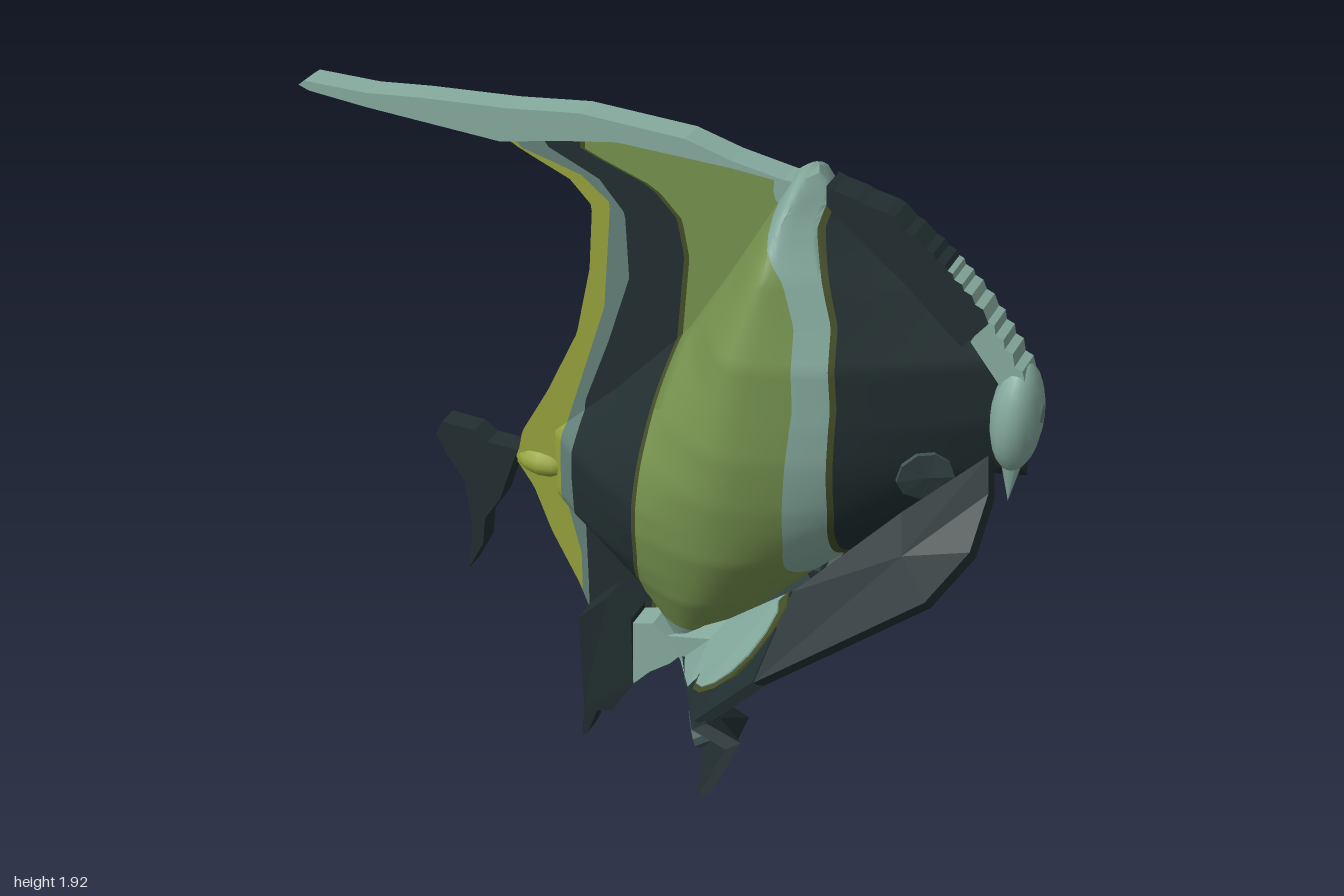
import * as THREE from 'three';
import { toCreasedNormals } from 'three/addons/utils/BufferGeometryUtils.js';

const paint = (name, color) => {
  const m = new THREE.MeshStandardMaterial({ color });
  m.name = name;
  return m;
};

// Piecewise linear lookup over [key, value] pairs sorted by key
const table = (pts) => (y) => {
  if (y <= pts[0][0]) return pts[0][1];
  for (let i = 1; i < pts.length; i++) {
    const [a, va] = pts[i - 1], [b, vb] = pts[i];
    if (y <= b) return va + (vb - va) * (y - a) / (b - a);
  }
  return pts[pts.length - 1][1];
};

// Body outline, ridge and half thickness by height
const bodyBack = table([[0.37, 0.07], [0.45, 0.04], [0.55, -0.04], [0.67, -0.16], [0.78, -0.33], [0.98, -0.33],
  [1.17, -0.13], [1.4, 0.08], [1.6, 0.2], [1.78, 0.3], [1.89, 0.36]]);
const bodyFront = table([[0.37, 0.14], [0.42, 0.18], [0.56, 0.28], [0.72, 0.42], [0.85, 0.55], [1.03, 0.75],
  [1.2, 0.91], [1.35, 0.94], [1.5, 0.9], [1.66, 0.71], [1.82, 0.48], [1.89, 0.41]]);
const ridge = table([[0.37, 0.1], [0.6, 0.15], [0.9, 0.25], [1.2, 0.32], [1.5, 0.33], [1.75, 0.37], [1.89, 0.385]]);
const halfWidth = table([[0.37, 0.07], [0.45, 0.1], [0.55, 0.15], [0.7, 0.23], [0.9, 0.295], [1.1, 0.325],
  [1.25, 0.33], [1.5, 0.3], [1.7, 0.225], [1.8, 0.16], [1.86, 0.11], [1.89, 0.05]]);
const frontBluntness = table([[0.6, 2.2], [1, 1.7], [1.2, 1.33]]);
const bodyThick = (x, y) => {
  const r = ridge(y), back = x < r;
  const s = Math.min(1, Math.abs(x - r) / Math.abs((back ? bodyBack(y) : bodyFront(y)) - r));
  return halfWidth(y) * (1 - Math.pow(s, back ? 1.8 : frontBluntness(y)));
};

// Rear fin outline; its front side is buried in the body
const finBack = table([[0.4, -0.19], [0.5, -0.23], [0.65, -0.31], [0.78, -0.36], [0.85, -0.41], [0.95, -0.39],
  [1.1, -0.31], [1.3, -0.22], [1.5, -0.18], [1.68, -0.17], [1.74, -0.23], [1.79, -0.36], [1.82, -0.42], [1.87, -0.2]]);
const finFront = (y) => bodyBack(y) + 0.1 * Math.min(1, (1.9 - y) / 0.3, (y - 0.3) / 0.3);

// Stripe boundaries, rear to front
const bounds = [
  () => -9,
  table([[0.6, -0.22], [0.8, -0.27], [1, -0.26], [1.2, -0.2], [1.4, -0.14], [1.7, -0.12], [1.76, -0.2], [1.8, -0.38]]),
  table([[0.5, -0.2], [0.9, -0.21], [1.1, -0.2], [1.3, -0.13], [1.5, -0.07], [1.68, -0.08], [1.76, -0.15], [1.82, -0.3]]),
  table([[0.4, -0.02], [0.6, 0], [0.8, 0.03], [1.2, 0.05], [1.6, 0.08], [1.7, 0.06], [1.77, -0.01], [1.83, -0.2]]),
  table([[0.68, 0.5], [0.75, 0.45], [0.85, 0.43], [1, 0.45], [1.4, 0.47], [1.6, 0.45], [1.7, 0.41], [1.76, 0.36], [1.82, 0.31]]),
  table([[0.85, 0.54], [1.1, 0.565], [1.4, 0.565], [1.6, 0.54], [1.7, 0.5], [1.8, 0.46], [1.87, 0.46]]),
  () => 9,
];
const shift = (f, d) => (y) => f(y) + d;

// One stripe of a two-sided thick sheet between two boundary curves
function stripe(y0, y1, left, right, lo, hi, thick) {
  const pos = [], rows = Math.max(8, Math.round((y1 - y0) * 54)), cols = 11;
  const P = (r, c, side) => {
    const y = y0 + (y1 - y0) * r / rows, a = left(y), b = right(y);
    const xa = Math.min(b, Math.max(a, lo(y))), xb = Math.min(b, Math.max(a, hi(y)));
    const x = xa + (xb - xa) * c / cols;
    return new THREE.Vector3(x, y, side * thick(x, y));
  };
  const tri = (a, b, c) => {
    const n = b.clone().sub(a).cross(c.clone().sub(a));
    if (n.length() > 1e-7) for (const v of [a, b, c]) pos.push(v.x, v.y, v.z);
  };
  const quad = (a, b, c, d) => { tri(a, b, c); tri(a, c, d); };
  for (let r = 0; r < rows; r++) {
    for (let c = 0; c < cols; c++) {
      quad(P(r, c, 1), P(r, c + 1, 1), P(r + 1, c + 1, 1), P(r + 1, c, 1));
      quad(P(r, c + 1, -1), P(r, c, -1), P(r + 1, c, -1), P(r + 1, c + 1, -1));
    }
    quad(P(r, 0, -1), P(r, 0, 1), P(r + 1, 0, 1), P(r + 1, 0, -1));
    quad(P(r, cols, 1), P(r, cols, -1), P(r + 1, cols, -1), P(r + 1, cols, 1));
  }
  for (let c = 0; c < cols; c++) {
    quad(P(0, c, -1), P(0, c + 1, -1), P(0, c + 1, 1), P(0, c, 1));
    quad(P(rows, c, 1), P(rows, c + 1, 1), P(rows, c + 1, -1), P(rows, c, -1));
  }
  const g = new THREE.BufferGeometry();
  g.setAttribute('position', new THREE.Float32BufferAttribute(pos, 3));
  return toCreasedNormals(g, 0.8);
}

// Thick plate through a loop of 3D points
function plate(pts, t) {
  const p = pts.map((q) => new THREE.Vector3(...q)), n = new THREE.Vector3(), mid = new THREE.Vector3();
  p.forEach((a, i) => { n.add(a.clone().cross(p[(i + 1) % p.length])); mid.addScaledVector(a, 1 / p.length); });
  n.setLength(t / 2);
  const up = (v) => v.clone().add(n), dn = (v) => v.clone().sub(n), out = [];
  p.forEach((a, i) => {
    const b = p[(i + 1) % p.length];
    out.push(up(mid), up(a), up(b), dn(mid), dn(b), dn(a), dn(a), dn(b), up(b), dn(a), up(b), up(a));
  });
  const g = new THREE.BufferGeometry().setFromPoints(out);
  g.computeVertexNormals();
  return g;
}

// Oval loop laid on a four-cornered panel a-b-c-d, clipped at its a-b edge
function ovalOn([a, b, c, d], u, v, ru, rv) {
  return Array.from({ length: 12 }, (_, k) => {
    const s = u + ru * Math.cos(k * Math.PI / 6), t = Math.max(0, v + rv * Math.sin(k * Math.PI / 6));
    return [0, 1, 2].map((i) => (a[i] * (1 - s) + b[i] * s) * (1 - t) + (d[i] * (1 - s) + c[i] * s) * t);
  });
}

// Flat side-on outline with depth along z
function slab(pts, depth, z = 0) {
  const s = new THREE.Shape(pts.map(([x, y]) => new THREE.Vector2(x, y)));
  return new THREE.ExtrudeGeometry(s, { depth, bevelEnabled: false }).translate(0, 0, z - depth / 2);
}

export function createModel() {
  const group = new THREE.Group();
  const pale = paint('pale teal', 0x86ab9f), olive = paint('olive green', 0x76934f);
  const yellow = paint('yellow green', 0x96a33c), dark = paint('dark slate', 0x222f31);
  const slate = paint('grey teal', 0x638078), grey = paint('spot grey', 0x3c4f50), moss = paint('dark moss', 0x454f2a);
  const add = (name, geo, mat) => {
    const m = new THREE.Mesh(geo, mat);
    m.name = name;
    group.add(m);
  };

  // Striped body and the thin fin behind it, with moss lines along the dark stripes
  const finThick = () => 0.034, w = 0.014;
  const stripes = [
    [yellow, bounds[0], bounds[1]], [slate, bounds[1], bounds[2]], [dark, bounds[2], bounds[3]],
    [moss, bounds[3], shift(bounds[3], w)], [olive, shift(bounds[3], w), bounds[4]],
    [pale, bounds[4], shift(bounds[5], -w)], [moss, shift(bounds[5], -w), bounds[5]], [dark, bounds[5], bounds[6]],
  ];
  stripes.forEach(([mat, lo, hi], i) => {
    const start = mat === olive ? 0.55 : 0.37;
    add('bodyStripe', stripe(start, 1.89, bodyBack, bodyFront, lo, hi, bodyThick), mat);
    if (i < 6) add('finStripe', stripe(0.4, 1.87, finBack, finFront, lo, hi, finThick), mat);
  });
  add('bellyTip', stripe(0.37, 0.55, bodyBack, bodyFront, shift(bounds[3], w), bounds[4], bodyThick), pale);

  // Long trailing streamer on the top edge
  add('streamer', slab([[0.4, 1.86], [0.2, 1.89], [0.08, 1.92], [-0.2, 1.925], [-0.4, 1.895], [-0.65, 1.87], [-0.8, 1.85],
    [-0.98, 1.845], [-1, 1.83], [-0.97, 1.82], [-0.8, 1.81], [-0.42, 1.8], [-0.25, 1.84], [-0.1, 1.87], [0.2, 1.87]], 0.072), pale);

  // Tail
  add('tailBase', new THREE.SphereGeometry(1, 12, 8).scale(0.085, 0.045, 0.06).translate(-0.34, 0.86, 0), yellow);
  add('tailFin', slab([[-0.41, 0.88], [-0.5, 0.88], [-0.54, 0.905], [-0.64, 0.905], [-0.66, 0.86], [-0.63, 0.8], [-0.58, 0.73],
    [-0.56, 0.58], [-0.58, 0.43], [-0.53, 0.53], [-0.52, 0.62], [-0.47, 0.7], [-0.43, 0.82]], 0.06), dark);

  // Stepped crest down the forehead, turning pale toward the muzzle
  const crest = (path, base) => {
    const pts = [];
    for (let i = 1; i < path.length; i++) {
      const [ax, ay] = path[i - 1], [bx, by] = path[i];
      for (const t of [0, 0.5]) {
        const x = ax + (bx - ax) * t, y = ay + (by - ay) * t;
        pts.push([x - 0.006, y + 0.012], [x + 0.014, y + 0.004]);
      }
    }
    return slab([...pts, path[path.length - 1], ...base], 0.08);
  };
  add('upperCrest', crest([[0.45, 1.87], [0.6, 1.835], [0.7, 1.765], [0.76, 1.72]], [[0.7, 1.6], [0.45, 1.78]]), dark);
  add('middleCrest', crest([[0.75, 1.725], [0.8, 1.68], [0.86, 1.62]], [[0.8, 1.54], [0.68, 1.62]]), [dark, pale]);
  add('lowerCrest', crest([[0.86, 1.615], [0.91, 1.55], [0.965, 1.47]], [[0.9, 1.46], [0.82, 1.56]]), pale);

  // Muzzle and pointed chin
  add('muzzle', new THREE.SphereGeometry(1, 16, 12).scale(0.062, 0.15, 0.088).translate(0.938, 1.365, 0), pale);
  add('mouth', new THREE.SphereGeometry(0.022, 10, 8).scale(0.4, 1.4, 0.8).translate(0.994, 1.385, 0), slate);
  add('chin', new THREE.ConeGeometry(0.055, 0.24, 10).rotateX(Math.PI).translate(0.935, 1.235, 0), pale);

  // Paired parts, mirrored across the body
  for (const s of [1, -1]) {
    const side = s > 0 ? 'front' : 'back';
    const flip = (pts) => {
      const q = pts.map(([x, y, z]) => [x, y, z * s]);
      return s > 0 ? q : q.reverse();
    };
    // Arm in two panels, with a moss-ringed pale patch that runs into the pale root
    const I = [0.5, 0.87, 0.27], P = [0.25, 0.52, 0.33], E = [0.36, 0.6, 0.53], D = [0.49, 0.73, 0.475];
    const lowerArm = [I, P, E, D];
    add(side + 'UpperArm', plate(flip([[0.9, 1.26, 0.05], [0.72, 1.09, 0.13], I, D, [0.86, 1, 0.33],
      [0.92, 1.08, 0.2], [0.92, 1.18, 0.09]]), 0.035), dark);
    add(side + 'LowerArm', plate(flip(lowerArm), 0.03), dark);
    add(side + 'ArmPatchRing', plate(flip(ovalOn(lowerArm, 0.45, 0.22, 0.5, 0.46)), 0.038), moss);
    add(side + 'ArmPatch', plate(flip(ovalOn(lowerArm, 0.47, 0.2, 0.43, 0.39)), 0.046), pale);
    add(side + 'ArmRoot', plate(flip([I, [0.29, 0.64, 0.17], [0.08, 0.46, 0.1], [0.13, 0.41, 0.12], P]), 0.03), pale);

    // Folded forearm with grey blotches
    const a = [0.12, 0.43, 0.08], b = [0.37, 0.61, 0.55], c = [0.44, 0.51, 0.67], d = [0.3, 0.27, 0.12];
    add(side + 'Forearm', plate(flip([a, b, [0.48, 0.62, 0.59], c, d, [0.2, 0.29, 0.1]]), 0.04), dark);
    for (const [u, v, r] of [[0.27, 0.36, 0.18], [0.62, 0.42, 0.14]]) {
      add(side + 'ForearmSpot', plate(flip(ovalOn([a, b, c, d], u, v, r, 1.7 * r)), 0.058), grey);
    }

    // Cheek spot
    const cheek = [];
    for (let k = 0; k < 10; k++) {
      const x = 0.76 + 0.06 * Math.cos(k * Math.PI / 5), y = 1.2 + 0.08 * Math.sin(k * Math.PI / 5);
      cheek.push([x, y, bodyThick(x, y) + 0.01]);
    }
    add(side + 'CheekSpot', plate(flip(cheek), 0.009), grey);

    // Pelvic fin that the model stands on, narrowing toward the tip
    const pelvic = slab([[-0.1, 0.55], [-0.19, 0.45], [-0.19, 0.12], [-0.205, 0], [-0.185, 0.02], [-0.15, 0.12],
      [-0.1, 0.14], [-0.03, 0.27], [-0.03, 0.5]], 0.09, 0.07 * s);
    const p = pelvic.attributes.position;
    for (let i = 0; i < p.count; i++) {
      if (Math.abs(p.getZ(i)) > 0.07) p.setZ(i, s * (0.085 + 0.1 * Math.min(0.35, p.getY(i))));
    }
    pelvic.computeVertexNormals();
    add(side + 'PelvicFin', pelvic, dark);
    add(side + 'PelvicRoot', slab([[-0.03, 0.48], [-0.03, 0.27], [0.02, 0.33], [0.08, 0.38], [0.12, 0.43], [0.03, 0.5]],
      0.08, 0.07 * s), pale);
  }
  return group;
}
